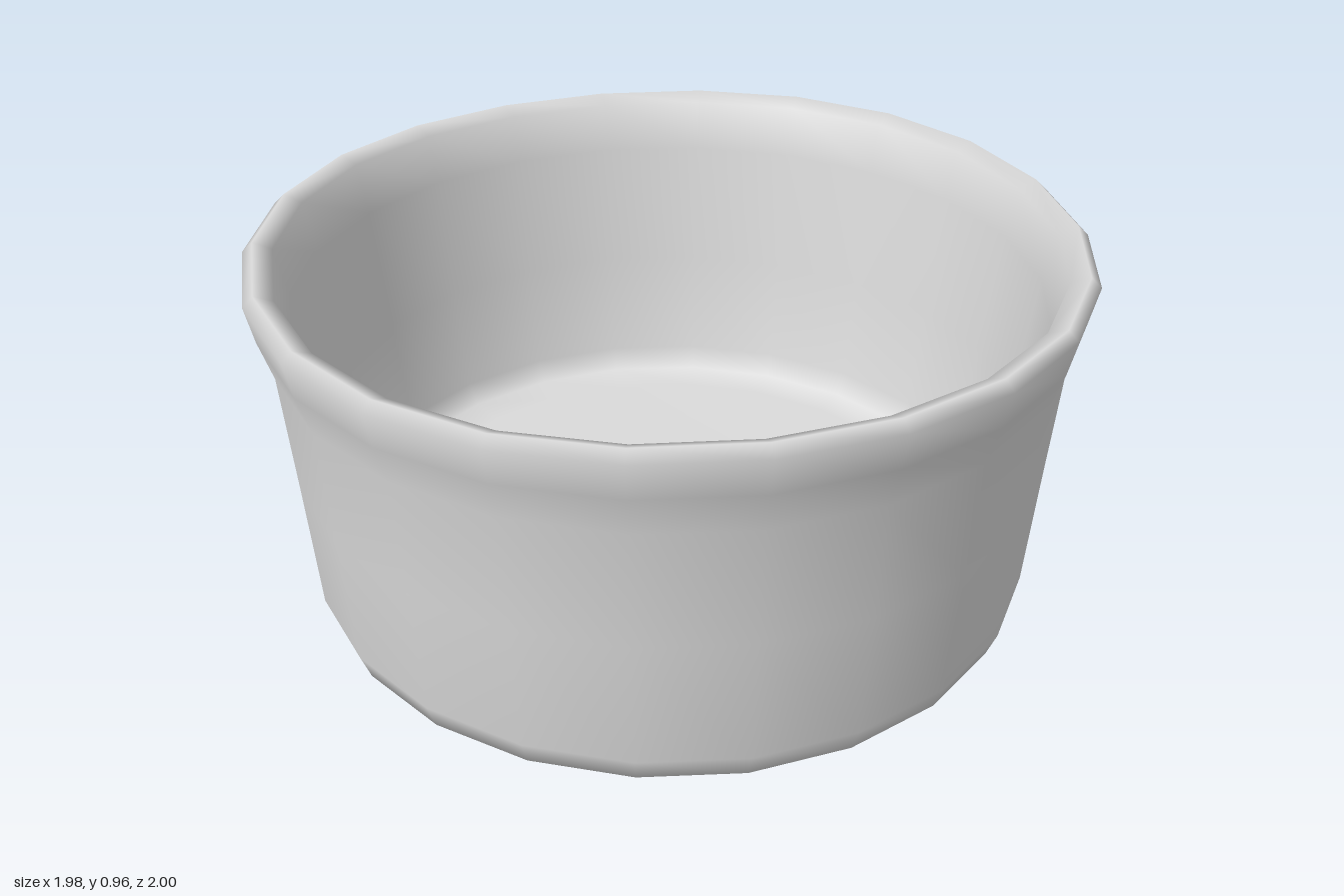
import * as THREE from 'three';

export function createModel() {
  const group = new THREE.Group();
  group.name = 'bowl';

  const ceramic = new THREE.MeshStandardMaterial({ color: 0xdadada });
  ceramic.name = 'pale grey ceramic';

  // Closed wall profile: recessed underside, foot, outer wall, flared lip, inner wall, floor
  const profile = [
    [0, 0.062], [0.6, 0.058], [0.72, 0.02], [0.8, 0.014], [0.87, 0.055], [0.895, 0.12],
    [0.922, 0.45], [0.948, 0.75], [0.98, 0.85], [1.0, 0.94], [0.975, 0.964],
    [0.93, 0.945], [0.9, 0.82], [0.86, 0.5], [0.815, 0.23], [0.785, 0.175],
    [0.7, 0.162], [0, 0.16],
  ].map(([r, y]) => new THREE.Vector2(r, y));
  const geometry = new THREE.LatheGeometry(profile, 22);

  // Slight hand-made waviness of the lip and the foot
  const pos = geometry.attributes.position;
  for (let i = 0; i < pos.count; i++) {
    const x = pos.getX(i), y = pos.getY(i), z = pos.getZ(i);
    const angle = Math.atan2(z, x);
    const lip = THREE.MathUtils.smoothstep(y, 0.75, 0.95);
    const foot = 1 - THREE.MathUtils.smoothstep(y, 0, 0.09);
    pos.setY(i, y + lip * 0.006 * Math.sin(3 * angle + 0.6) + foot * 0.009 * x);
  }

  const dish = new THREE.Mesh(geometry, ceramic);
  dish.name = 'dish';
  group.add(dish);
  return group;
}
